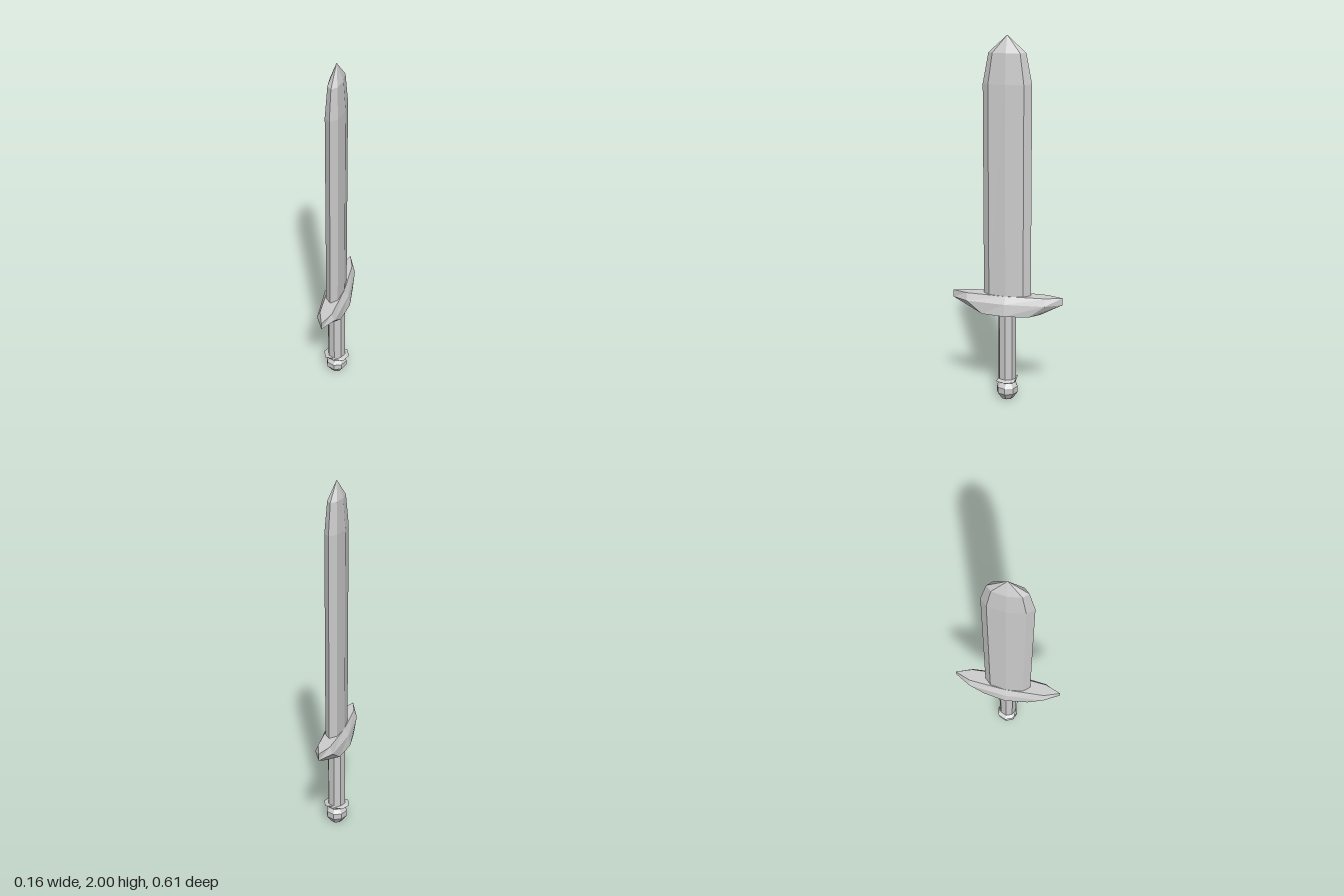
import * as THREE from 'three';

// Eight-sided cross-section at height y: half width, corner x, corner z, half depth
function section([y, hx, cx, cz, hz]) {
  return [[hx, 0], [cx, cz], [0, hz], [-cx, cz], [-hx, 0], [-cx, -cz], [0, -hz], [cx, -cz]]
    .map(([x, z]) => [x, y, z]);
}

// Regular octagonal section
const round = (y, r) => [y, r, r * Math.SQRT1_2, r * Math.SQRT1_2, r];

// Skins sections listed from bottom to top; the top closes at height topY
function loft(name, sections, topY = sections[sections.length - 1][0]) {
  const rings = sections.map(section);
  const last = rings.length - 1;
  const bottom = [0, sections[0][0], 0];
  const top = [0, topY, 0];
  const pos = [];
  for (let i = 0; i < 8; i++) {
    const j = (i + 1) % 8;
    for (let k = 0; k < last; k++) {
      const a = rings[k], b = rings[k + 1];
      pos.push(...a[i], ...b[i], ...a[j], ...a[j], ...b[i], ...b[j]);
    }
    pos.push(...bottom, ...rings[0][i], ...rings[0][j]);
    pos.push(...top, ...rings[last][j], ...rings[last][i]);
  }
  const geometry = new THREE.BufferGeometry();
  geometry.setAttribute('position', new THREE.Float32BufferAttribute(pos, 3));
  geometry.computeVertexNormals();
  const mesh = new THREE.Mesh(geometry,
    new THREE.MeshStandardMaterial({ color: 0xcccccc, flatShading: true }));
  mesh.name = name;
  return mesh;
}

export function createModel() {
  const sword = new THREE.Group();
  sword.name = 'sword';

  // Blade narrowing to a faceted point
  sword.add(loft('blade', [
    [0.6, 0.046, 0.033, 0.095, 0.131],
    [1.75, 0.046, 0.033, 0.095, 0.131],
    [1.91, 0.035, 0.025, 0.073, 0.1],
  ], 2));

  // Crossguard running along z, chamfered above and tapered below
  sword.add(loft('crossguard', [
    [0.505, 0.078, 0.059, 0.13, 0.185],
    [0.57, 0.069, 0.05, 0.217, 0.305],
    [0.61, 0.046, 0.033, 0.217, 0.305],
  ]));

  // Octagonal grip
  sword.add(loft('grip', [round(0.1, 0.05), round(0.51, 0.05)]));

  // Thin collar flaring below the grip
  sword.add(loft('collar', [
    round(0.095, 0.036),
    [0.113, 0.075, 0.053, 0.05, 0.052],
    round(0.122, 0.05),
  ]));

  // Faceted pommel
  sword.add(loft('pommel', [
    round(0, 0.033),
    round(0.038, 0.06),
    round(0.072, 0.06),
    round(0.102, 0.036),
  ]));

  return sword;
}
